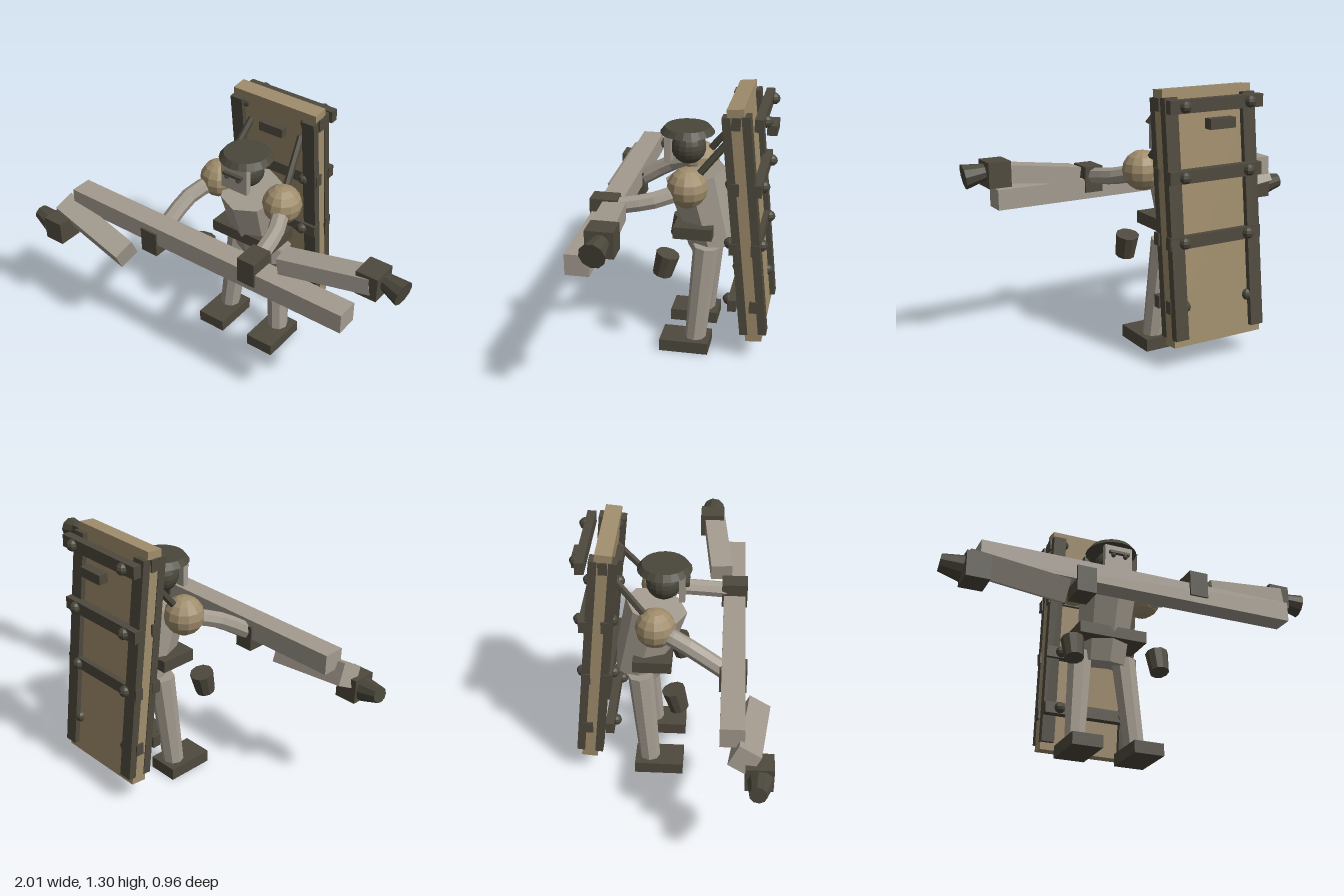
import * as THREE from 'three';

const V = (x, y, z) => new THREE.Vector3(x, y, z);
const UP = V(0, 1, 0);

export function createModel() {
  const root = new THREE.Group();
  root.name = 'stretcherSoldier';

  const paint = (name, color) => {
    const m = new THREE.MeshStandardMaterial({ color, flatShading: true });
    m.name = name;
    return m;
  };
  const grey = paint('greyCloth', 0xa39b8f);
  const tan = paint('tanWood', 0xa08d6c);
  const dark = paint('darkBrown', 0x4f4a3e);
  const metal = paint('darkMetal', 0x4a473b);

  const add = (name, geo, mat, pos, parent = root) => {
    const m = new THREE.Mesh(geo, mat);
    m.name = name;
    m.position.set(...pos);
    parent.add(m);
    return m;
  };
  const box = (name, size, mat, pos, parent) =>
    add(name, new THREE.BoxGeometry(...size), mat, pos, parent);
  const ball = (name, r, mat, pos, w = 12, h = 8) =>
    add(name, new THREE.SphereGeometry(r, w, h), mat, pos);
  // tapered rod from a (radius ra) to b (radius rb)
  const rod = (name, a, b, ra, rb, mat, sides = 8) => {
    const dir = b.clone().sub(a);
    const m = add(name, new THREE.CylinderGeometry(rb, ra, dir.length(), sides), mat,
      a.clone().add(b).multiplyScalar(0.5).toArray());
    m.quaternion.setFromUnitVectors(UP, dir.normalize());
    return m;
  };
  // box beam whose long side (x) runs from a to b
  const beam = (name, a, b, h, d, mat) => {
    const dir = b.clone().sub(a);
    const m = box(name, [dir.length(), h, d], mat, a.clone().add(b).multiplyScalar(0.5).toArray());
    m.quaternion.setFromUnitVectors(V(1, 0, 0), dir.normalize());
  };

  // Torso and belt
  rod('torso', V(0, 0.525, -0.183), V(0, 0.884, -0.091), 0.13, 0.155, grey);
  box('belt', [0.36, 0.06, 0.19], dark, [0, 0.635, -0.105]);

  // Head, face plate and brimmed helmet
  ball('head', 0.086, metal, [0, 1.022, -0.055], 16, 12);
  box('face', [0.15, 0.135, 0.03], grey, [0, 1.022, 0.036]);
  add('helmetBrim', new THREE.CylinderGeometry(0.11, 0.133, 0.03, 20), metal, [0, 1.11, -0.05]);
  box('brow', [0.11, 0.014, 0.022], dark, [0, 1.046, 0.06]);

  for (const s of [-1, 1]) {
    ball('eye', 0.013, dark, [s * 0.033, 1.03, 0.06], 8, 6);
    ball('shoulder', 0.098, tan, [s * 0.19, 0.883, -0.083]);

    // Legs, feet and hip pouches
    rod('leg', V(s * 0.16, 0.04, -0.12), V(s * 0.12, 0.55, -0.165), 0.052, 0.064, grey);
    box('foot', [0.155, 0.062, 0.245], dark, [s * 0.158, 0.031, -0.072]);
    const pouch = add('pouch', new THREE.CylinderGeometry(0.058, 0.048, 0.115, 10), dark,
      [s * 0.227, 0.492, 0.018]);
    pouch.rotation.set(-0.26, 0, 0);

    // Arms reaching forward to the beam
    const handY = s < 0 ? 0.695 : 0.79;
    const path = new THREE.CatmullRomCurve3([
      V(s * 0.2, 0.87, -0.06), V(s * 0.255, 0.835, 0.06), V(s * 0.29, handY + 0.01, 0.27),
    ]);
    add('arm', new THREE.TubeGeometry(path, 5, 0.042, 8), grey, [0, 0, 0]);
    box('hand', [0.095, 0.13, 0.13], dark, [s * 0.293, handY, 0.29]);

    // Struts from the shoulders to the board
    rod('strut', V(s * 0.18, 0.93, -0.12), V(s * 0.145, 1.15, -0.3), 0.018, 0.018, metal, 6);
  }

  // Long carried beam with a loose piece at each end
  box('carriedBeam', [1.6, 0.1, 0.11], grey, [0, 0.742, 0.29]);
  beam('leftArmPiece', V(0.405, 0.832, 0.22), V(0.85, 0.9, 0.17), 0.085, 0.11, grey);
  beam('rightArmPiece', V(-0.41, 0.588, 0.395), V(-0.86, 0.668, 0.345), 0.11, 0.11, grey);
  for (const [x, y, z] of [[0.84, 0.897, 0.16], [-0.84, 0.59, 0.413]]) {
    box('endBlock', [0.11, 0.122, 0.125], dark, [x, y, z]);
    const cx = Math.sign(x) * 0.945;
    rod('endCap', V(cx - 0.05, y + 0.012, z - 0.008), V(cx + 0.048, y - 0.004, z + 0.004),
      0.04, 0.06, metal, 10);
  }

  // Leaning board with rails on both faces
  const board = new THREE.Group();
  board.name = 'board';
  board.position.set(0, 0.703, -0.367);
  board.rotation.x = 0.098;
  root.add(board);
  box('panel', [0.48, 1.195, 0.08], tan, [0, 0, 0], board);
  for (const x of [-0.21, 0.21])
    for (const z of [-0.046, 0.046])
      box('rail', [0.068, 1.12, 0.04], dark, [x, 0, z], board);

  // Upright rows of crossbars and bolts, front and back
  for (const s of [-1, 1]) {
    for (const y of [0.3, 0.605, 0.91, 1.23]) {
      box('crossbar', [0.5, 0.06, 0.042], dark, [0, y, -0.367 + s * 0.053]);
      for (const x of [-0.175, 0.175])
        ball('bolt', 0.029, metal, [x, y, -0.367 + s * 0.078], 8, 6);
    }
    box('handle', [0.135, 0.048, 0.048], dark, [0, 1.148, -0.365 + s * 0.097]);
  }
  return root;
}
